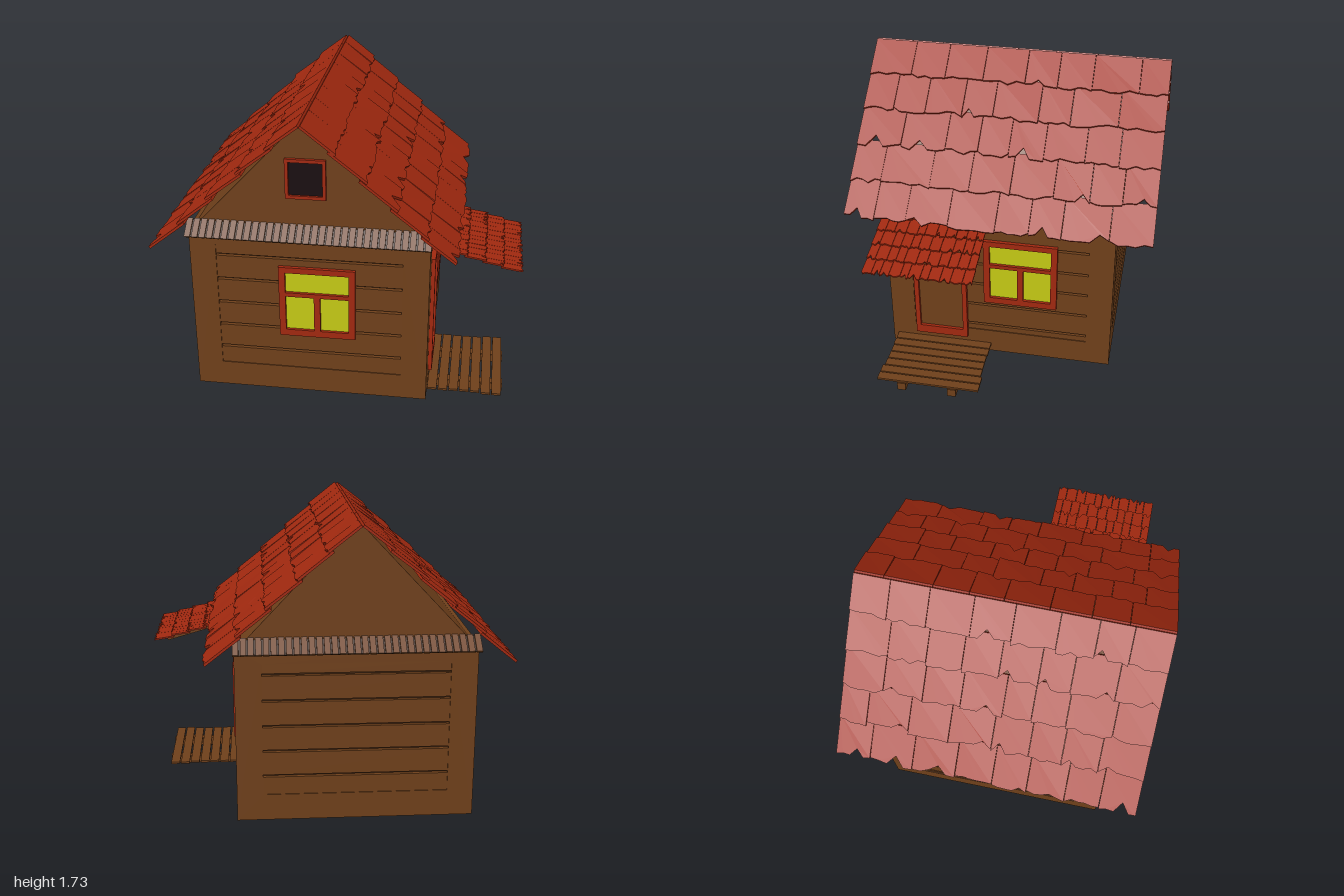
import * as THREE from 'three';

const mat = (color, flat = true) => new THREE.MeshStandardMaterial({ color, flatShading: flat });
const wood = mat(0x6e3f1a), red = mat(0xa0280f), glass = mat(0xc3c814), dark = mat(0x180c0f), groove = mat(0x3a200d);

let seed = 7;
const rnd = () => (seed = (seed * 16807) % 2147483647) / 2147483647;

function add(parent, name, geo, material, x = 0, y = 0, z = 0) {
  const m = new THREE.Mesh(geo, material);
  m.name = name;
  m.position.set(x, y, z);
  parent.add(m);
  return m;
}
const box = (parent, name, material, w, h, d, x, y, z) =>
  add(parent, name, new THREE.BoxGeometry(w, h, d), material, x, y, z);

const poly = (pts) => new THREE.Shape(pts.map(([x, y]) => new THREE.Vector2(x, y)));
const rect = (x0, y0, x1, y1) => [[x0, y0], [x1, y0], [x1, y1], [x0, y1]];

// Slab with rectangular openings, from z = 0 to z = depth
function frameGeo(outer, holes, depth) {
  const s = poly(rect(...outer));
  for (const h of holes) s.holes.push(poly(rect(...h)));
  return new THREE.ExtrudeGeometry(s, { depth, bevelEnabled: false });
}

// Wall facing +z with its face at z = 0: border and recessed boards
function wall(name, width, panelHalf, grooves) {
  const g = new THREE.Group();
  g.name = name;
  const lo = 0.155, hi = 0.93;
  add(g, 'wallBorder', frameGeo([-width / 2, 0, width / 2, 1.02], [[-panelHalf, lo, panelHalf, hi]], 0.04), wood, 0, 0, -0.04);
  box(g, 'grooveBacking', groove, panelHalf * 2, hi - lo, 0.01, 0, (lo + hi) / 2, -0.033);
  const edges = [lo - 0.007, ...grooves, hi + 0.007];
  for (let i = 0; i < edges.length - 1; i++) {
    const a = edges[i] + 0.007, b = edges[i + 1] - 0.007;
    box(g, 'wallBoard', wood, panelHalf * 2, b - a, 0.025, 0, (a + b) / 2, -0.0175);
  }
  return g;
}

// Three-pane window centred on the origin of the wall face
function windowUnit(x, y) {
  const g = new THREE.Group();
  g.name = 'window';
  g.position.set(x, y, 0);
  const holes = [[-0.18, 0.06, 0.18, 0.185], [-0.18, -0.18, -0.018, 0.035], [0.018, -0.18, 0.18, 0.035]];
  add(g, 'windowFrame', frameGeo([-0.217, -0.22, 0.217, 0.22], holes, 0.045), red, 0, 0, -0.029);
  box(g, 'windowGlass', glass, 0.38, 0.39, 0.02, 0, 0, -0.011);
  return g;
}

// Shingle: a slab running down +x with a ragged lower edge and a slight twist
function shingleGeo(len, w, t, jag) {
  const pts = [[0, -w / 2]], n = 5, notch = Math.floor(rnd() * 9);
  for (let i = 0; i <= n; i++) {
    const cut = i === notch && i > 0 && i < n ? jag * 2.5 : 0;
    pts.push([len + (rnd() - 0.5) * jag * 1.6 - cut, (i / n - 0.5) * w]);
  }
  pts.push([0, w / 2]);
  const geo = new THREE.ExtrudeGeometry(poly(pts), { depth: t, bevelEnabled: false });
  geo.rotateX(-Math.PI / 2);
  const p = geo.attributes.position, twist = (rnd() - 0.5) * 0.08 * t / 0.015;
  for (let i = 0; i < p.count; i++) p.setY(i, p.getY(i) + twist * (p.getX(i) / len) * p.getZ(i));
  geo.computeVertexNormals();
  return geo;
}

// Overlapping shingle rows over a slope going down +x, width along z
function shingles(name, length, width, rows, cols, t, jag) {
  const g = new THREE.Group();
  g.name = name;
  const step = length / rows;
  for (let r = 0; r < rows; r++) {
    const ws = Array.from({ length: cols }, () => 0.75 + rnd() * 0.5);
    const sum = ws.reduce((a, b) => a + b, 0);
    let z = -width / 2;
    for (const k of ws) {
      const w = (k / sum) * width, x0 = Math.max(0, r * step - step * 0.12);
      const m = add(g, 'shingle', shingleGeo((r + 1) * step - x0, w - 0.002, t, jag), red, x0, 0, z + w / 2);
      m.rotation.z = (t * 1.3) / step + (rnd() - 0.5) * 0.012;
      z += w;
    }
  }
  return g;
}

export function createModel() {
  const house = new THREE.Group();
  house.name = 'house';
  const cx = -0.184, W = 1.35, D = 1.34, cz = 0.01;

  // Core and base rim
  box(house, 'houseCore', wood, W - 0.07, 0.97, D - 0.07, cx, 0.525, cz);
  const rim = frameGeo([-W / 2 + 0.01, -D / 2 + 0.01, W / 2 - 0.01, D / 2 - 0.01],
    [[-W / 2 + 0.12, -D / 2 + 0.12, W / 2 - 0.12, D / 2 - 0.12]], 0.05);
  rim.rotateX(-Math.PI / 2);
  add(house, 'baseRim', rim, wood, cx, 0.001, cz);

  // Four walls
  const endGrooves = [0.267, 0.417, 0.565, 0.715, 0.867], sideGrooves = [0.197, 0.348, 0.5, 0.645, 0.795];
  const walls = [['frontWall', 0], ['rightSideWall', 1], ['backWall', 2], ['leftSideWall', 3]].map(([name, i]) => {
    const side = i % 2 === 1;
    const g = wall(name, side ? D - 0.08 : W, 0.525, side ? sideGrooves : endGrooves);
    const a = i * Math.PI / 2;
    g.rotation.y = a;
    g.position.set(cx + Math.sin(a) * W / 2, 0, cz + Math.cos(a) * D / 2);
    house.add(g);
    return g;
  });
  walls[1].name = 'doorWall';
  walls[3].name = 'plainSideWall';
  walls[0].add(windowUnit(0.047, 0.6));
  walls[1].add(windowUnit(0.127, 0.603));

  // Door (wall's own x points to -z of the house)
  const door = new THREE.Group();
  door.name = 'door';
  door.position.set(cz - 0.365, 0, 0);
  add(door, 'doorFrame', frameGeo([-0.16, 0.1, 0.16, 0.84], [[-0.132, 0.155, 0.132, 0.79]], 0.05), red, 0, 0, -0.028);
  box(door, 'doorPanel', wood, 0.27, 0.64, 0.03, 0, 0.4725, -0.011);
  walls[1].add(door);

  // Gable attic
  const attic = new THREE.ExtrudeGeometry(poly([[-0.67, 1.0], [0.67, 1.0], [0, 1.71]]), { depth: 1.3, bevelEnabled: false });
  add(house, 'atticGable', attic, wood, cx, 0, cz - 0.65);
  add(house, 'atticWindowFrame', frameGeo([-0.112, -0.115, 0.112, 0.115], [[-0.093, -0.096, 0.093, 0.096]], 0.03), red, -0.192, 1.35, 0.65);
  box(house, 'atticWindowPane', dark, 0.19, 0.195, 0.01, -0.192, 1.35, 0.661);

  // Slatted ledges below both gables
  for (const s of [1, -1]) {
    const ledge = new THREE.Group();
    ledge.name = s > 0 ? 'frontLedge' : 'backLedge';
    ledge.position.set(cx, 1.035, cz + s * 0.69);
    ledge.rotation.y = s > 0 ? 0 : Math.PI;
    const tilted = new THREE.Group();
    tilted.rotation.x = 0.69;
    box(tilted, 'ledgeBoard', groove, W, 0.008, 0.105, 0, -0.006, 0);
    for (let i = 0; i < 33; i++) box(tilted, 'ledgeSlat', wood, 0.033, 0.012, 0.115, (i - 16) * 0.0415, 0.002, 0);
    ledge.add(tilted);
    house.add(ledge);
  }

  // Main roof: the same slope on each side of the ridge
  for (const s of [1, -1]) {
    const slope = shingles('roofSlope', 1.1, 1.74, 5, 8, 0.014, 0.018);
    slope.rotation.z = -0.742;
    const turn = new THREE.Group();
    turn.name = s > 0 ? 'leftRoof' : 'rightRoof';
    turn.position.set(cx, 1.715, 0);
    turn.rotation.y = s > 0 ? 0 : Math.PI;
    turn.add(slope);
    house.add(turn);
  }

  // Door canopy
  const canopy = shingles('canopyShingles', 0.515, 0.61, 5, 11, 0.009, 0.01);
  canopy.position.set(0.485, 0.99, 0.36);
  canopy.rotation.z = -0.26;
  house.add(canopy);
  const beam = poly([[0.48, 0.955], [0.92, 0.83], [0.935, 0.865], [0.48, 0.988]]);
  for (const z of [0.5, 0.22]) {
    add(house, 'canopyBeam', new THREE.ExtrudeGeometry(beam, { depth: 0.05, bevelEnabled: false }), wood, 0, 0, z - 0.025);
    box(house, 'porchBeam', wood, 0.54, 0.05, 0.05, 0.66, 0.026, z + (z > 0.3 ? 0.01 : -0.01));
  }

  // Porch planks
  for (let i = 0; i < 7; i++)
    box(house, 'porchPlank', wood, 0.054, 0.012, 0.59 + (rnd() - 0.5) * 0.03, 0.523 + i * 0.062, 0.057, 0.355);

  return house;
}
